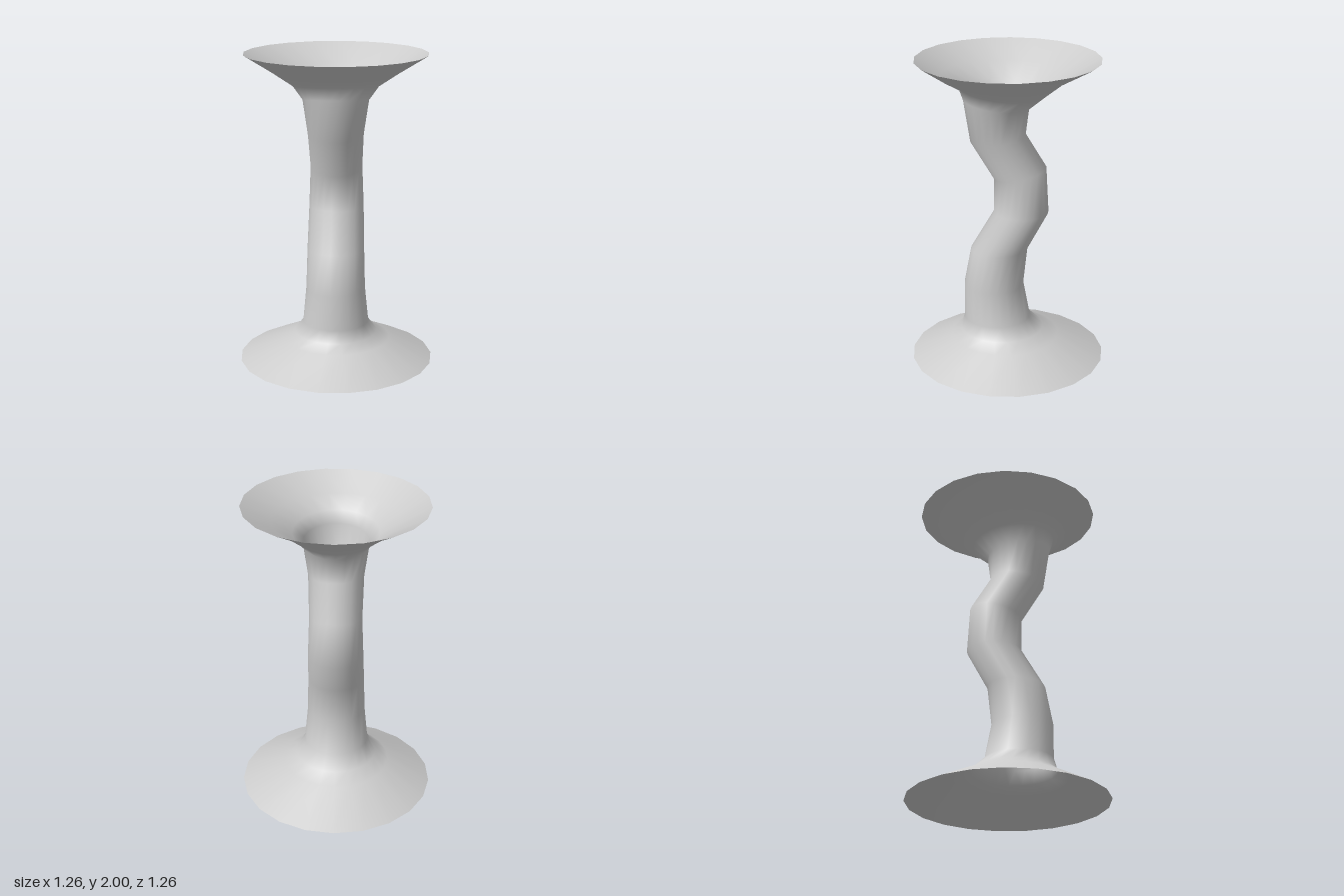
import * as THREE from 'three';

const SIDES = 21;

// Tilted rings, bottom to top: [back z, back y, front z, front y, half width]
const RINGS = [
  [-0.63, 0.00, 0.63, 0.00, 0.63],
  [-0.33, 0.14, 0.37, 0.14, 0.35],
  [-0.23, 0.19, 0.307, 0.19, 0.267],
  [-0.143, 0.27, 0.285, 0.27, 0.212],
  [-0.10, 0.50, 0.285, 0.50, 0.19],
  [-0.127, 0.755, 0.238, 0.75, 0.183],
  [-0.26, 1.00, 0.09, 1.00, 0.177],
  [-0.243, 1.30, 0.09, 1.23, 0.167],
  [-0.111, 1.52, 0.238, 1.48, 0.176],
  [-0.132, 1.69, 0.28, 1.75, 0.208],
  [-0.23, 1.77, 0.307, 1.83, 0.27],
  [-0.376, 1.886, 0.42, 1.895, 0.40],
  [-0.58, 2.00, 0.575, 2.00, 0.58],
];

// Joins the rings into one smooth open skin
function loft(rings) {
  const positions = [];
  const index = [];
  // the frontmost point lies mid-facet, since a corner sits at the back
  const reach = Math.cos(Math.PI / SIDES);
  rings.forEach(([bz, by, fz, fy, r], j) => {
    for (let i = 0; i < SIDES; i++) {
      const a = (i / SIDES) * Math.PI * 2;
      const t = (1 - Math.cos(a)) / (1 + reach);
      positions.push(r * Math.sin(a), by + (fy - by) * t, bz + (fz - bz) * t);
      if (j === rings.length - 1) continue;
      const p = j * SIDES + i;
      const q = j * SIDES + ((i + 1) % SIDES);
      index.push(p, p + SIDES, q, q, p + SIDES, q + SIDES);
    }
  });
  const geometry = new THREE.BufferGeometry();
  geometry.setAttribute('position', new THREE.Float32BufferAttribute(positions, 3));
  geometry.setIndex(index);
  geometry.computeVertexNormals();
  return geometry;
}

export function createModel() {
  const group = new THREE.Group();
  group.name = 'flaredColumn';
  // Hollow winding tube with a flared foot and mouth
  const material = new THREE.MeshStandardMaterial({ color: 0xcccccc, side: THREE.DoubleSide });
  const tube = new THREE.Mesh(loft(RINGS), material);
  tube.name = 'flaredTube';
  group.add(tube);
  return group;
}
